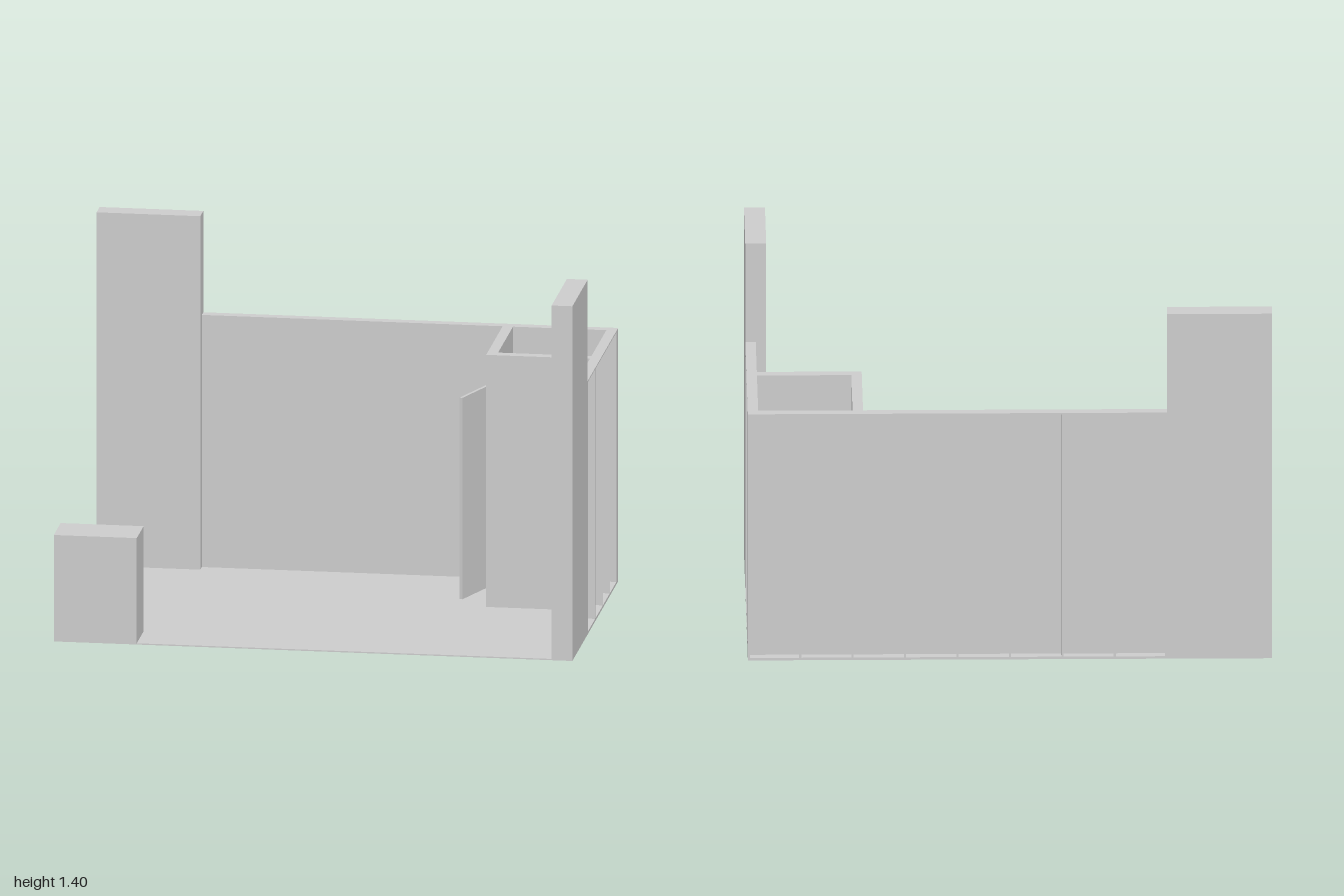
import * as THREE from 'three';

const material = new THREE.MeshStandardMaterial({ color: 0xcccccc, flatShading: true });

// Box given by its minimum and maximum corners
function block(name, [x0, y0, z0], [x1, y1, z1]) {
  const mesh = new THREE.Mesh(new THREE.BoxGeometry(x1 - x0, y1 - y0, z1 - z0), material);
  mesh.name = name;
  mesh.position.set((x0 + x1) / 2, (y0 + y1) / 2, (z0 + z1) / 2);
  return mesh;
}

const T = 0.04;      // wall thickness
const SKIN = 0.005;  // inner panel of a framed wall
const STUD = 0.008;
const H = 1;

// Framed wall along local x, outer open side facing -z (z = 0), skin at z = T
function framedWall(name, length, studs) {
  const wall = new THREE.Group();
  wall.name = name;
  wall.add(
    block('wallPanel', [0, 0, T - SKIN], [length, H, T]),
    block('topRail', [0, H - 0.005, 0], [length, H, T - SKIN]),
    block('bottomRail', [0, 0, 0], [length, 0.01, T - SKIN])
  );
  for (const s of studs) {
    const c = THREE.MathUtils.clamp(s, STUD / 2, length - STUD / 2);
    wall.add(block('stud', [c - STUD / 2, 0.01, 0], [c + STUD / 2, H - 0.005, T - SKIN]));
  }
  return wall;
}

export function createModel() {
  const model = new THREE.Group();
  model.name = 'exhibitionBooth';

  model.add(
    block('floor', [-1, 0, -0.6], [1, 0.005, 0.6]),
    block('backTower', [-1, 0, -0.6], [-0.6, 1.4, -0.52]),
    block('sideTower', [0.92, 0, 0.2], [1, 1.4, 0.6]),
    block('counter', [-1, 0, 0.42], [-0.68, 0.42, 0.6])
  );

  // Framed outer walls
  const back = framedWall('backWall', 1.6, Array.from({ length: 9 }, (_, i) => i * 0.2));
  back.position.set(-0.6, 0, -0.6);
  const side = framedWall('sideWall', 0.76, [0, 0.177, 0.357, 0.56, 0.76]);
  side.rotation.y = -Math.PI / 2;
  side.position.set(1, 0, -0.56);
  model.add(back, side);

  // Storage room: front wall, and a left wall with a doorway
  model.add(block('storageFrontWall', [0.6, 0, -0.17], [0.96, H, -0.13]));
  const outline = new THREE.Shape();
  [[-0.56, 0], [-0.52, 0], [-0.52, 0.8], [-0.21, 0.8], [-0.21, 0], [-0.13, 0], [-0.13, H], [-0.56, H]]
    .forEach(([z, y], i) => (i ? outline.lineTo(-z, y) : outline.moveTo(-z, y)));
  const doorWall = new THREE.Mesh(
    new THREE.ExtrudeGeometry(outline, { depth: T, bevelEnabled: false }), material);
  doorWall.name = 'storageDoorWall';
  doorWall.rotation.y = Math.PI / 2;
  doorWall.position.x = 0.56;
  model.add(doorWall);

  // Door standing open on its hinge
  const hinge = new THREE.Group();
  hinge.name = 'door';
  hinge.add(block('doorLeaf', [-0.012, 0.005, 0], [0, 0.8, 0.31]));
  hinge.position.set(0.56, 0, -0.52);
  hinge.rotation.y = -0.35;
  model.add(hinge);

  return model;
}
